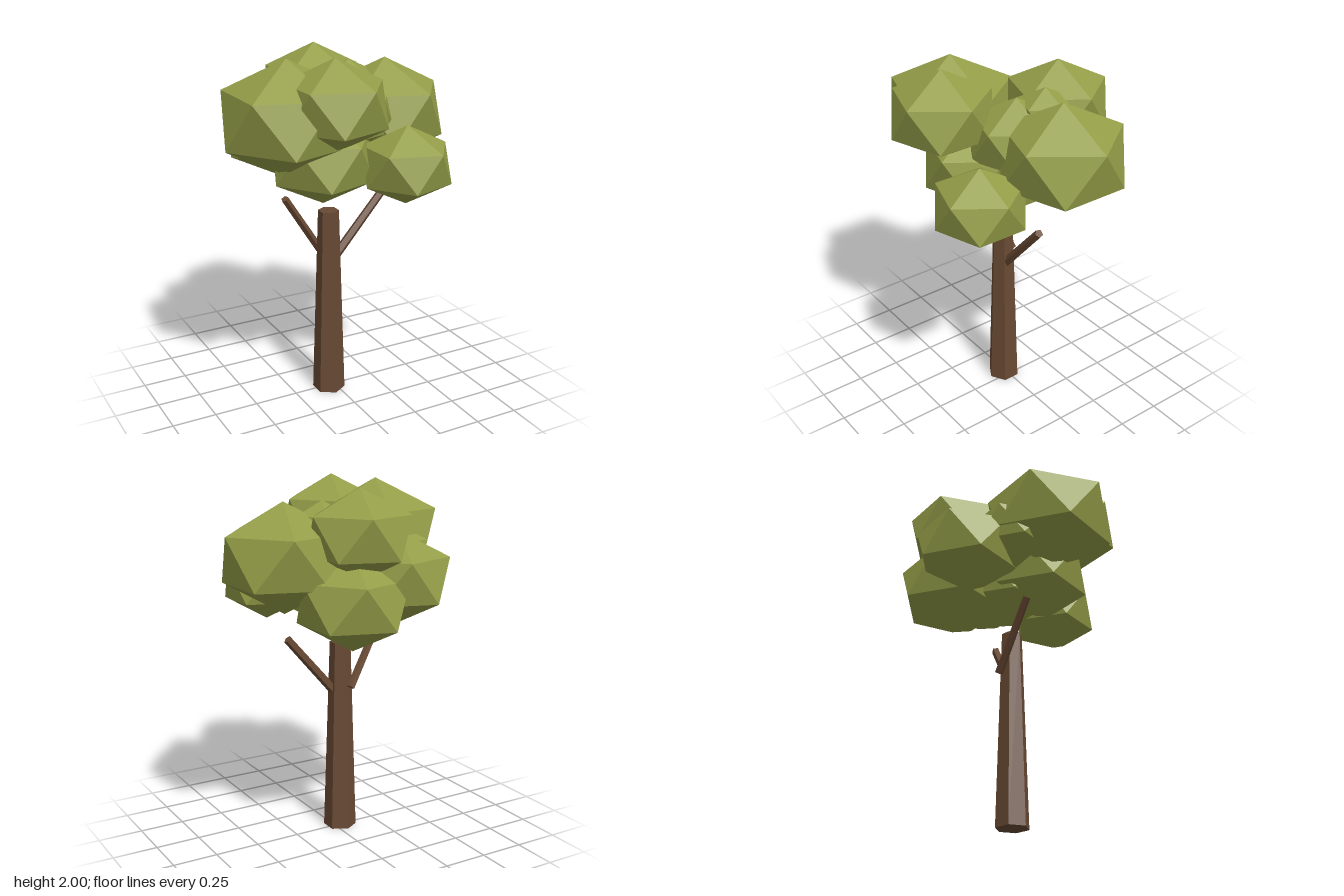
import * as THREE from 'three';

export function createModel() {
  const tree = new THREE.Group();
  tree.name = 'tree';

  const bark = new THREE.MeshStandardMaterial({ color: 0x694a34, flatShading: true });
  bark.name = 'bark brown';
  const leaf = new THREE.MeshStandardMaterial({ color: 0x949e48, flatShading: true });
  leaf.name = 'leaf green';

  // Tapered six-sided trunk
  const trunk = new THREE.Mesh(new THREE.CylinderGeometry(0.058, 0.0925, 1.1, 6), bark);
  trunk.name = 'trunk';
  trunk.position.set(-0.04, 0.55, 0.01);
  tree.add(trunk);

  // Straight branch between two points
  function addBranch(name, from, to, topRadius, baseRadius) {
    const a = new THREE.Vector3(...from);
    const b = new THREE.Vector3(...to);
    const dir = b.clone().sub(a);
    const branch = new THREE.Mesh(
      new THREE.CylinderGeometry(topRadius, baseRadius, dir.length(), 5), bark);
    branch.name = name;
    branch.position.copy(a).add(b).multiplyScalar(0.5);
    branch.quaternion.setFromUnitVectors(new THREE.Vector3(0, 1, 0), dir.normalize());
    tree.add(branch);
  }
  addBranch('leftBranch', [-0.01, 0.81, 0.015], [0.288, 1.15, 0.015], 0.024, 0.027);
  addBranch('rightBranch', [-0.06, 0.85, -0.072], [-0.305, 1.207, 0.01], 0.021, 0.023);

  // Foliage clumps: one icosahedron turned point-up, flattened in height
  const clumpShape = new THREE.IcosahedronGeometry(1, 0);
  clumpShape.rotateZ(-Math.atan((Math.sqrt(5) - 1) / 2));
  const clumps = [ // x, y, z, radius
    [-0.34, 1.68, 0.13, 0.38],
    [-0.157, 1.76, 0.308, 0.302],
    [0.352, 1.607, -0.073, 0.367],
    [0.03, 1.73, -0.298, 0.305],
    [0.24, 1.413, 0.358, 0.266],
    [0.073, 1.39, -0.306, 0.33],
    [-0.2, 1.495, -0.3, 0.313],
    [-0.289, 1.575, -0.067, 0.25],
    [0.09, 1.64, 0.018, 0.275],
    [0.15, 1.765, -0.12, 0.17],
    [-0.135, 1.437, 0.13, 0.305],
    [0, 1.392, -0.04, 0.28],
  ];
  const foliage = new THREE.Group();
  foliage.name = 'foliage';
  clumps.forEach(([x, y, z, r], i) => {
    const clump = new THREE.Mesh(clumpShape, leaf);
    clump.name = `leafClump${i + 1}`;
    clump.position.set(x, y, z);
    clump.scale.set(r, r * 0.8, r);
    foliage.add(clump);
  });
  tree.add(foliage);

  return tree;
}
